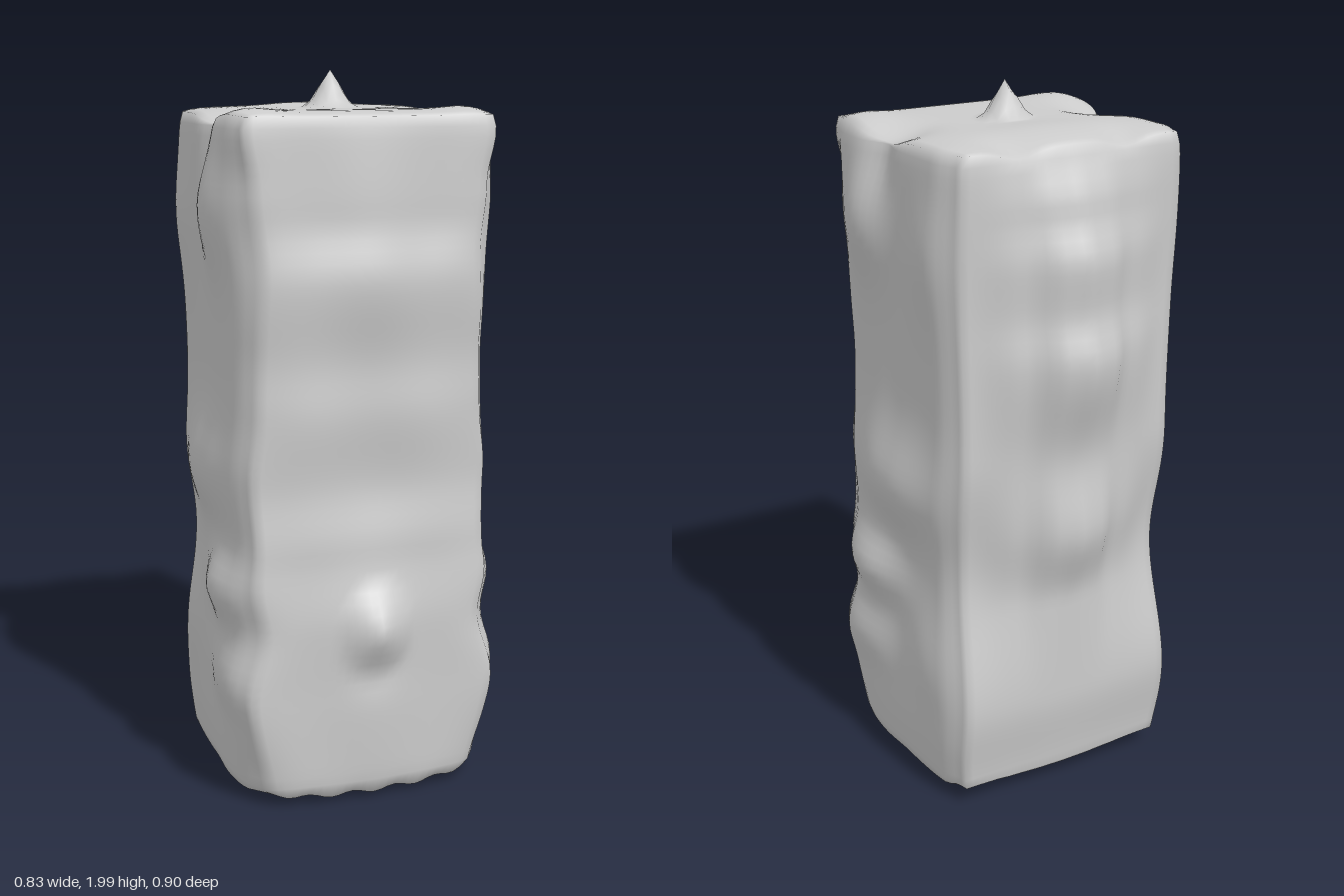
import * as THREE from 'three';
import { mergeVertices } from 'three/addons/utils/BufferGeometryUtils.js';

// Smoothly interpolated profile through [position, value] pairs
function profile(points) {
  return (t) => {
    if (t <= points[0][0]) return points[0][1];
    for (let i = 1; i < points.length; i++) {
      const [t0, a] = points[i - 1], [t1, b] = points[i];
      if (t <= t1) return a + (b - a) * THREE.MathUtils.smoothstep(t, t0, t1);
    }
    return points[points.length - 1][1];
  };
}

// Half width of the plan from back to front
const planWidth = profile([[-1, 0.328], [-0.7, 0.355], [0, 0.36], [0.4, 0.368], [0.75, 0.368], [1, 0.35]]);
const widthByHeight = profile([[0.03, -0.004], [0.2, 0.006], [0.74, -0.016], [1.1, -0.004], [1.45, 0], [1.88, 0.004]]);
const frontDepth = profile([[0.04, 0.39], [0.3, 0.395], [0.5, 0.4], [0.72, 0.372], [0.9, 0.348], [1.1, 0.365],
  [1.22, 0.358], [1.45, 0.386], [1.62, 0.355], [1.88, 0.345]]);
const backDepth = profile([[0.05, 0.31], [0.3, 0.338], [0.6, 0.34], [0.82, 0.4], [1.02, 0.372], [1.32, 0.445],
  [1.45, 0.412], [1.58, 0.422], [1.72, 0.38], [1.88, 0.33]]);
const backCorner = profile([[0.05, 0.3], [0.3, 0.33], [0.7, 0.272], [1.05, 0.31], [1.4, 0.31], [1.85, 0.325]]);
// How far the back ridge stands out, from the middle to the corner
const ridge = profile([[0, 1], [0.2, 0.86], [0.5, 0.4], [0.95, 0]]);
// Amount worn off the front corners by height
const frontWear = profile([[0.05, 0.045], [0.3, 0.01], [0.5, 0.035], [0.66, 0.008], [0.92, 0.01], [1.1, 0.028],
  [1.3, 0.035], [1.5, 0.045], [1.7, 0.028], [1.86, 0]]);

// Lumps on each side: height, z, radius in height, radius in z, size
const sideLumps = [
  [1.64, 0.14, 0.16, 0.13, 0.045], [1.6, -0.2, 0.17, 0.12, 0.025], [0.9, 0, 0.14, 0.24, 0.053],
  [0.6, 0.16, 0.09, 0.15, 0.055], [0.36, 0.22, 0.1, 0.15, 0.034], [0.42, -0.15, 0.16, 0.12, 0.018],
  [1.85, 0.06, 0.13, 0.06, -0.03],
];

const bump = (a, b) => Math.exp(-(a * a + b * b));
const cone = (a, b, r) => Math.max(0, 1 - Math.hypot(a, b) / r);

// Moves a point of the cube [-1, 1] onto the weathered block
function shapePoint(p) {
  const { x: u, y: v, z: w } = p;
  const side = Math.abs(u);
  let y = 0.03 + (v + 1) * 0.925;

  // Ends drawn in a little at their rims
  const rim = 1 - 0.025 * Math.pow(Math.abs(v), 36);

  // Sides with separate lumps, equal on left and right
  let half = planWidth(w) + widthByHeight(y);
  for (const [ly, lz, ry, rz, size] of sideLumps) {
    half += size * side * bump((y - ly) / ry, (w * 0.35 - lz) / rz);
  }
  const wear = w > 0 ? frontWear(y) * Math.pow(w, 4) : 0;
  const x = u * (half - wear) * rim;

  // Front swells in the middle, back carries a broad central ridge
  let z;
  if (w > 0) {
    const middle = 0.55 + 0.45 * Math.cos(u * Math.PI / 2);
    const dents = 0.006 * Math.sin(y * 5) * Math.cos(u * 6)
      + 0.05 * cone(x, (y - 0.5) * 0.8, 0.11) - 0.012 * bump(x / 0.07, (y - 0.38) / 0.06);
    z = w * (0.35 + (frontDepth(y) - 0.35) * middle + dents * w - 0.35 * wear * Math.pow(u, 6)) * rim;
  } else {
    const corner = backCorner(y);
    z = w * (corner + (backDepth(y) - corner) * ridge(side)) * rim;
  }

  // Uneven ends and the small point on top
  const inner = (1 - Math.pow(u, 8)) * (1 - Math.pow(w, 8));
  if (v > 0.9999) {
    y += 0.015 * inner + 0.012 * bump((side - 0.85) / 0.2, (w - 0.7) / 0.25) + 0.01 * bump(u / 0.5, (w + 0.55) / 0.3);
    y -= 0.03 * bump((side - 0.9) / 0.25, (w - 0.15) / 0.3) + 0.022 * bump((side - 0.5) / 0.2, (w + 1) / 0.3);
    y += 0.108 * cone(x, z - 0.02, 0.065);
  } else if (v < -0.9999) {
    // Underside lifts toward the back and the corners
    y += 0.02 * Math.pow(u * w, 4) - 0.014 * inner;
    if (w < 0) y += 0.02 * w * w * w * w;
    y -= 0.014 * cone(Math.abs(x) - 0.23, z - 0.08, 0.07);
    // Ragged lower front rim
    if (w > 0) y -= 0.012 * Math.pow(w, 6) * (0.5 + 0.5 * Math.cos(x * 50));
  }
  return p.set(x, y, z);
}

export function createModel() {
  const group = new THREE.Group();
  group.name = 'stoneBlock';

  // One closed skin with shared corners, so the shading runs smoothly around the edges
  let geometry = new THREE.BoxGeometry(2, 2, 2, 28, 64, 28);
  geometry.deleteAttribute('uv');
  geometry.deleteAttribute('normal');
  geometry = mergeVertices(geometry);
  const position = geometry.attributes.position;
  const p = new THREE.Vector3();
  for (let i = 0; i < position.count; i++) {
    shapePoint(p.fromBufferAttribute(position, i));
    position.setXYZ(i, p.x, p.y, p.z);
  }
  geometry.computeVertexNormals();

  const block = new THREE.Mesh(geometry, new THREE.MeshStandardMaterial({ color: 0xcccccc }));
  block.name = 'weatheredBlock';
  group.add(block);
  return group;
}
